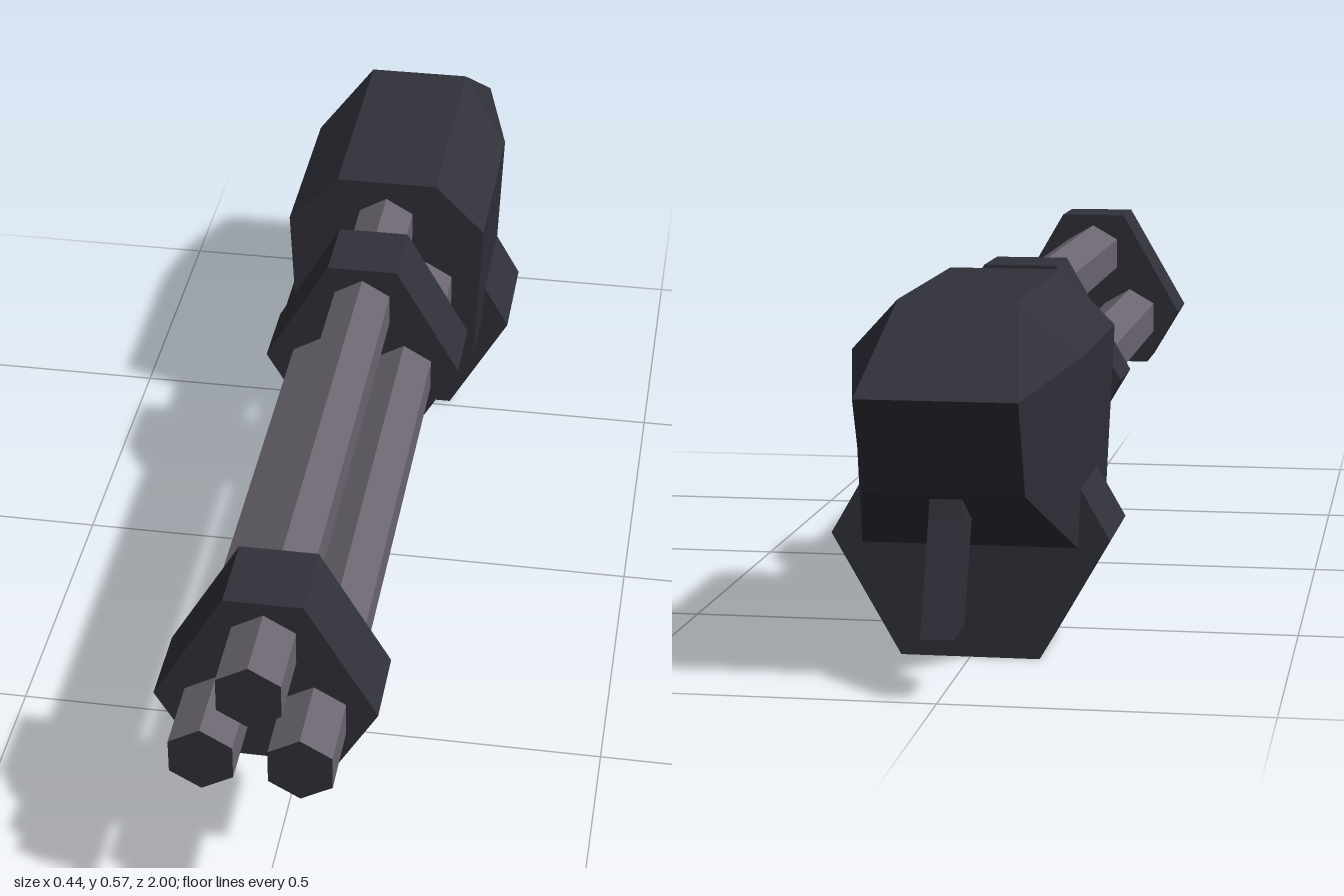
import * as THREE from 'three';

const dark = new THREE.MeshStandardMaterial({ color: 0x30313a, flatShading: true });
dark.name = 'dark gunmetal';
const steel = new THREE.MeshStandardMaterial({ color: 0x6b6570, flatShading: true });
steel.name = 'warm grey steel';

// Closed solid through sections listed front to back, each counter-clockwise seen from +z
function loft(sections) {
  const pos = [];
  const area = new THREE.Triangle();
  const tri = (a, b, c) => {
    area.a.set(...a); area.b.set(...b); area.c.set(...c);
    if (area.getArea() > 1e-7) pos.push(...a, ...b, ...c);
  };
  const n = sections[0].length;
  for (let s = 0; s < sections.length - 1; s++) {
    const f = sections[s], b = sections[s + 1];
    for (let i = 0; i < n; i++) {
      const j = (i + 1) % n;
      tri(b[i], b[j], f[j]);
      tri(b[i], f[j], f[i]);
    }
  }
  const first = sections[0], last = sections[sections.length - 1];
  for (let i = 1; i < n - 1; i++) {
    tri(first[0], first[i], first[i + 1]);
    tri(last[0], last[i + 1], last[i]);
  }
  const g = new THREE.BufferGeometry();
  g.setAttribute('position', new THREE.Float32BufferAttribute(pos, 3));
  g.computeVertexNormals();
  return g;
}

// Mirror the +x half of a section (listed bottom to top)
const mirror = half => [...half, ...half.map(([x, y, z]) => [-x, y, z]).reverse()];

// Prism along z from a half outline
const prism = (half, z0, z1) => loft([z1, z0].map(z => mirror(half.map(([x, y]) => [x, y, z]))));

// Plate in the side plane, given as [z, y] points, with thickness across x
function sidePlate(points, width) {
  const shape = new THREE.Shape(points.map(([z, y]) => new THREE.Vector2(-z, y)));
  const g = new THREE.ExtrudeGeometry(shape, { depth: width, bevelEnabled: false });
  g.translate(0, 0, -width / 2);
  return g.rotateY(Math.PI / 2);
}

export function createModel() {
  const group = new THREE.Group();
  group.name = 'rotaryGun';
  const add = (name, geometry, material = dark) => {
    const mesh = new THREE.Mesh(geometry, material);
    mesh.name = name;
    group.add(mesh);
    return mesh;
  };

  // Three hexagonal barrels with dark muzzles
  [[0, 0.484], [-0.076, 0.354], [0.076, 0.354]].forEach(([x, y], i) => {
    const g = new THREE.CylinderGeometry(0.057, 0.057, 1.4, 6).rotateX(Math.PI / 2);
    add('barrel' + (i + 1), g, [steel, dark, dark]).position.set(x, y, 0.3);
  });

  // Clamps around the barrels
  const clamp = [[0.113, 0.262], [0.175, 0.367], [0.062, 0.562]];
  add('frontClamp', prism(clamp, 0.74, 0.875));
  add('rearClamp', prism(clamp, -0.215, -0.08));

  // Body with chamfered top and tapered tail
  add('body', loft([
    mirror([[0.17, 0.213, -0.37], [0.183, 0.484, -0.37], [0.092, 0.574, -0.37]]),
    mirror([[0.17, 0.18, -0.72], [0.183, 0.484, -0.72], [0.092, 0.574, -0.81]]),
    mirror([[0.122, 0.3, -0.935], [0.122, 0.45, -1], [0.122, 0.45, -1]]),
  ]));

  // Hexagonal ammunition drum
  add('ammoDrum', prism([[0.11, 0], [0.22, 0.192], [0.11, 0.383]], -0.715, -0.515));

  // Tapered foregrip under the barrels
  add('foregrip', loft([
    mirror([[0.02, 0.178, -0.045], [0.033, 0.215, -0.03]]),
    mirror([[0.037, 0.168, -0.39], [0.055, 0.215, -0.44]]),
  ]));

  // Rear handle and trigger
  add('handle', sidePlate([[-0.82, 0.3], [-0.835, 0.25], [-0.905, 0.095], [-0.995, 0.095], [-0.925, 0.26], [-0.91, 0.32]], 0.05));
  add('trigger', sidePlate([[-0.795, 0.25], [-0.81, 0.215], [-0.813, 0.18], [-0.822, 0.215], [-0.815, 0.25]], 0.02));

  return group;
}
